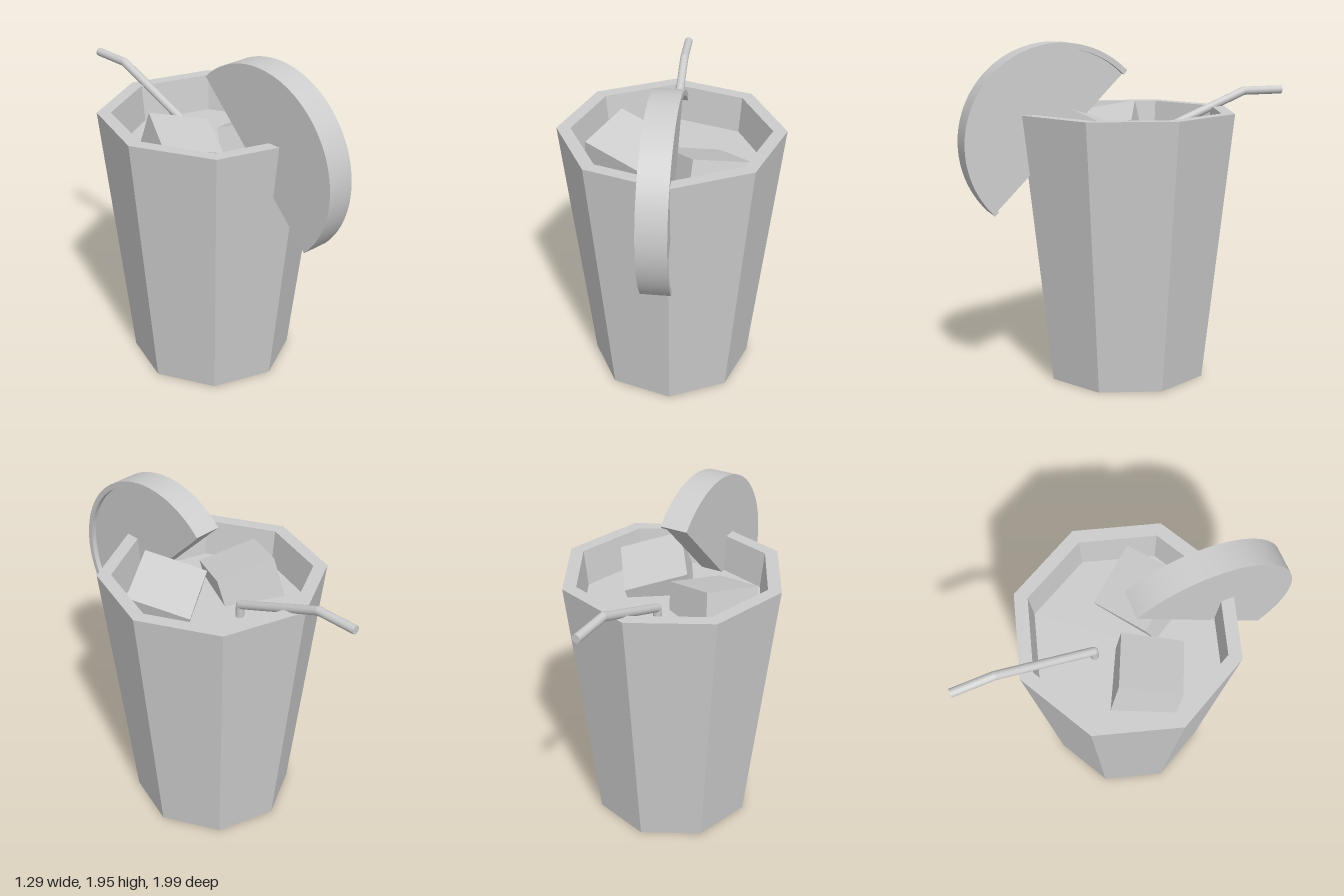
import * as THREE from 'three';
import { toCreasedNormals } from 'three/addons/utils/BufferGeometryUtils.js';

const CENTRE_Z = 0.015;
const LIQUID_Y = 1.34;
const V = (x, y, z) => new THREE.Vector3(x, y, z);

export function createModel() {
  const model = new THREE.Group();
  model.name = 'icedDrink';
  const grey = new THREE.MeshStandardMaterial({ color: 0xcccccc });
  grey.name = 'light grey';

  const add = (name, geometry, parent = model) => {
    const mesh = new THREE.Mesh(geometry, grey);
    mesh.name = name;
    parent.add(mesh);
    return mesh;
  };

  // Eight-sided surfaces, turned a little off the axes
  const octagon = (profile) => {
    const points = profile.map(([r, y]) => new THREE.Vector2(r, y));
    const g = new THREE.LatheGeometry(points, 8, THREE.MathUtils.degToRad(4.9));
    return toCreasedNormals(g, 0.3).translate(0, 0, CENTRE_Z);
  };
  add('glass', octagon([[0, 0], [0.47, 0], [0.648, 1.555], [0.568, 1.555], [0.543, LIQUID_Y - 0.01]]));
  add('drinkSurface', octagon([[0.545, LIQUID_Y], [0, LIQUID_Y]]));

  // Tilted ice cubes: top corner plus its two top edges
  const iceCube = (name, corner, edgeA, edgeB) => {
    const size = edgeA.length();
    const a = edgeA.clone().normalize();
    const up = a.clone().cross(edgeB).normalize();
    if (up.y < 0) up.negate();
    const b = up.clone().cross(a);
    const sign = Math.sign(b.dot(edgeB));
    const cube = add(name, new THREE.BoxGeometry(size, size, size));
    cube.quaternion.setFromRotationMatrix(new THREE.Matrix4().makeBasis(a, up, b.clone().negate().multiplyScalar(-1).cross(V(0, 0, 0)).add(a.clone().cross(up))));
    cube.position.copy(corner)
      .addScaledVector(a, size / 2)
      .addScaledVector(b, sign * size / 2)
      .addScaledVector(up, -size / 2);
  };
  iceCube('leftIceCube', V(-0.31, 1.577, -0.165), V(0.31, -0.08, 0.145), V(-0.16, -0.06, 0.3));
  iceCube('rightIceCube', V(0.16, 1.592, 0.4), V(0.31, -0.1, -0.18), V(-0.2, -0.1, -0.3));

  // Bent straw: straight tubes with rounded joints
  const straw = new THREE.Group();
  straw.name = 'straw';
  model.add(straw);
  const path = [V(-0.012, 1.2, -0.18), V(-0.013, 1.415, -0.19), V(-0.014, 1.64, -0.75), V(-0.014, 1.64, -1)];
  const radius = 0.025;
  for (let i = 0; i < path.length - 1; i++) {
    const dir = path[i + 1].clone().sub(path[i]);
    const tube = add('strawSection', new THREE.CylinderGeometry(radius, radius, dir.length(), 16), straw);
    tube.position.copy(path[i]).addScaledVector(dir, 0.5);
    tube.quaternion.setFromUnitVectors(V(0, 1, 0), dir.normalize());
    if (i > 0) add('strawJoint', new THREE.SphereGeometry(radius, 16, 12), straw).position.copy(path[i]);
  }

  // Half-round fruit slice on the rim, with a raised rind on one side
  const slice = new THREE.Group();
  slice.name = 'fruitSlice';
  model.add(slice);
  const start = -Math.PI / 4, end = 3 * Math.PI / 4;
  const slab = (shape, xMin, xMax) => {
    const g = new THREE.ExtrudeGeometry(shape, { depth: xMax - xMin, bevelEnabled: false, curveSegments: 48 });
    return toCreasedNormals(g.rotateY(-Math.PI / 2), 0.4).translate(xMax, 1.397, 0.435);
  };
  const flesh = new THREE.Shape();
  flesh.absarc(0, 0, 0.525, start, end, false);
  flesh.closePath();
  add('flesh', slab(flesh, -0.07, 0.065), slice);
  const rind = new THREE.Shape();
  rind.absarc(0, 0, 0.556, start, end, false);
  rind.absarc(0, 0, 0.525, end, start, true);
  rind.closePath();
  add('rind', slab(rind, -0.07, 0.095), slice);

  return model;
}
